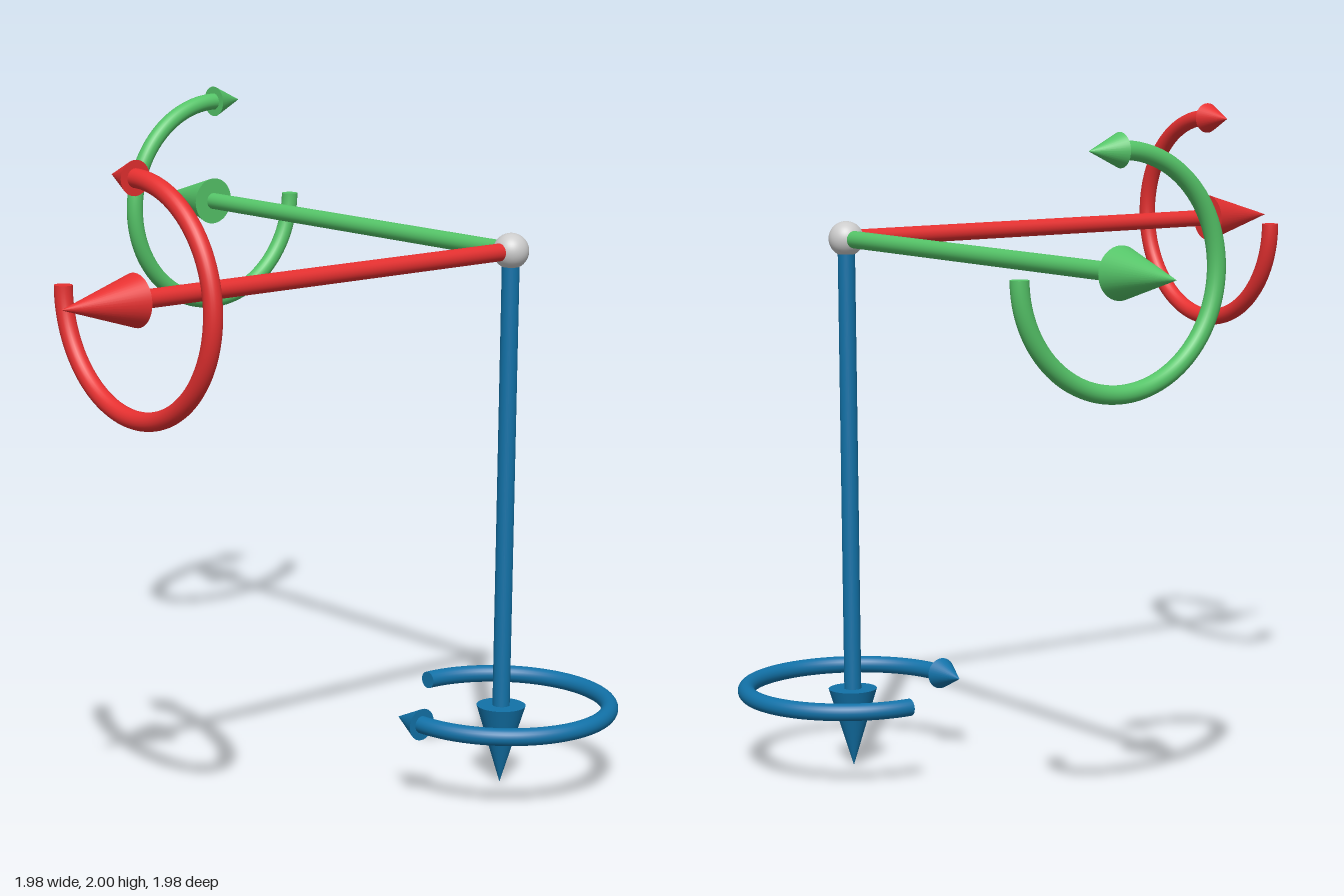
import * as THREE from 'three';

const TUBE = 0.026;      // radius of shafts and rings
const LENGTH = 1.627;    // hub to arrow tip
const HEAD = 0.243;      // length of the main arrowhead
const RING = 0.325;      // centreline radius of the rotation ring
const RING_AT = 1.382;   // ring position along the axis

// One axis along local +z with a three-quarter rotation arrow around it
function makeAxis(name, color) {
  const axis = new THREE.Group();
  axis.name = name;
  const material = new THREE.MeshStandardMaterial({ color });
  const add = (part, geometry) => {
    const mesh = new THREE.Mesh(geometry, material);
    mesh.name = part;
    axis.add(mesh);
  };

  const shaftLength = LENGTH - HEAD;
  add('shaft', new THREE.CylinderGeometry(TUBE, TUBE, shaftLength, 32)
    .rotateX(Math.PI / 2).translate(0, 0, shaftLength / 2));
  add('arrowhead', new THREE.ConeGeometry(0.074, HEAD, 40)
    .rotateX(Math.PI / 2).translate(0, 0, LENGTH - HEAD / 2));

  // Ring runs from -x through -y and +x up to +y
  add('rotationRing', new THREE.TorusGeometry(RING, TUBE, 24, 96, Math.PI * 1.5)
    .rotateZ(Math.PI).translate(0, 0, RING_AT));
  add('ringEndCap', new THREE.CircleGeometry(TUBE, 24)
    .rotateX(-Math.PI / 2).translate(-RING, 0, RING_AT));
  add('rotationArrowhead', new THREE.ConeGeometry(0.048, 0.103, 32)
    .rotateZ(Math.PI / 2).translate(-0.0515, RING, RING_AT));
  return axis;
}

export function createModel() {
  const model = new THREE.Group();
  model.name = 'coordinateAxes';

  // Hub at the common origin
  const hub = new THREE.Mesh(
    new THREE.SphereGeometry(0.053, 40, 24),
    new THREE.MeshStandardMaterial({ color: 0xcccccc })
  );
  hub.name = 'hub';

  const frontAxis = makeAxis('frontAxis', 0xe53030);
  const sideAxis = makeAxis('sideAxis', 0x55c468);
  sideAxis.rotation.y = -Math.PI / 2;   // points to -x
  const downAxis = makeAxis('downAxis', 0x1272a8);
  downAxis.rotation.x = Math.PI / 2;    // points to -y

  const assembly = new THREE.Group();
  assembly.name = 'axisAssembly';
  assembly.add(hub, frontAxis, sideAxis, downAxis);
  assembly.position.set(0.637, LENGTH, -0.637);
  model.add(assembly);
  return model;
}
